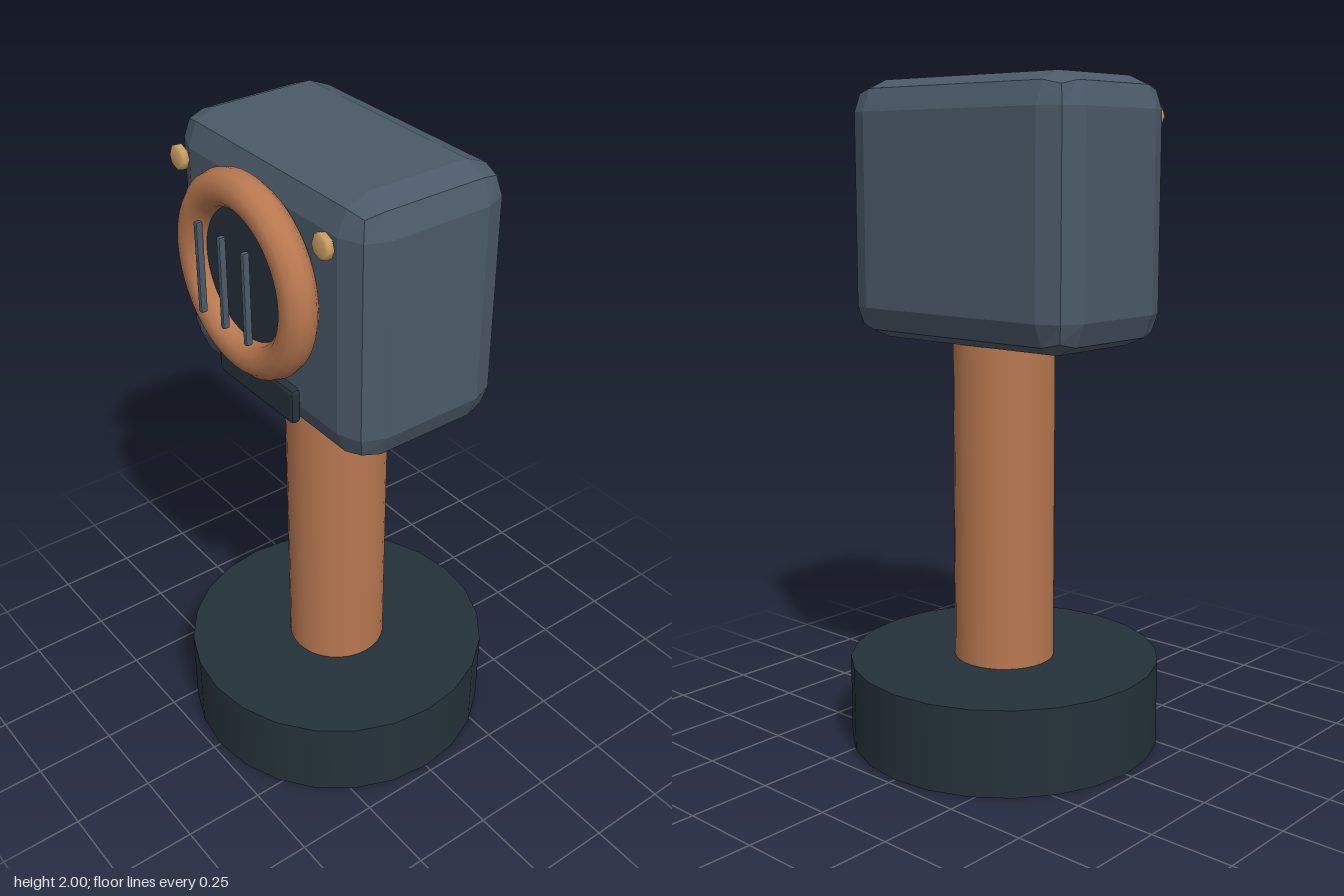
import * as THREE from 'three';

const mat = (name, color) => {
  const m = new THREE.MeshStandardMaterial({ color });
  m.name = name;
  return m;
};

// Box whose edges are rounded in two flat facets of radius r
function bevelBox(w, h, d, r) {
  const box = new THREE.BoxGeometry(1, 1, 1, 3, 3, 3);
  const p = box.attributes.position;
  const inner = new THREE.Vector3(w / 2 - r, h / 2 - r, d / 2 - r);
  const edge = (v) => (Math.abs(v) > 0.4 ? Math.sign(v) : 0);
  for (let i = 0; i < p.count; i++) {
    const v = new THREE.Vector3().fromBufferAttribute(p, i);
    const out = new THREE.Vector3(edge(v.x), edge(v.y), edge(v.z)).normalize().multiplyScalar(r);
    p.setXYZ(i,
      Math.sign(v.x) * inner.x + out.x,
      Math.sign(v.y) * inner.y + out.y,
      Math.sign(v.z) * inner.z + out.z);
  }
  const flat = box.toNonIndexed();
  flat.computeVertexNormals();
  return flat;
}

export function createModel() {
  const slate = mat('slate', 0x4b5968);
  const dark = mat('dark slate', 0x24313a);
  const copper = mat('copper', 0xb87850);
  const brass = mat('brass', 0xcda063);

  const model = new THREE.Group();
  model.name = 'pedestalSpeaker';
  const add = (name, geometry, material, x, y, z) => {
    const mesh = new THREE.Mesh(geometry, material);
    mesh.name = name;
    mesh.position.set(x, y, z);
    model.add(mesh);
    return mesh;
  };

  // Stand
  add('base', new THREE.CylinderGeometry(0.475, 0.475, 0.26, 24), dark, 0, 0.13, 0);
  add('post', new THREE.CylinderGeometry(0.153, 0.153, 1.03, 32), copper, 0, 0.765, 0);

  // Head
  add('head', bevelBox(0.855, 0.765, 0.5, 0.095), slate, 0, 1.6175, 0);

  // Round grille with its ring and upright bars
  const faceY = 1.675;
  add('ring', new THREE.TorusGeometry(0.238, 0.052, 12, 48), copper, 0, faceY, 0.3);
  add('grilleDisc', new THREE.CylinderGeometry(0.2, 0.2, 0.06, 32), dark, 0, faceY, 0.27)
    .rotation.x = Math.PI / 2;
  for (const x of [-0.108, 0, 0.108]) {
    add('grilleBar', bevelBox(0.016, 0.27, 0.021, 0.005), slate, x, faceY, 0.37);
  }

  // Plate under the ring
  add('plate', bevelBox(0.36, 0.11, 0.032, 0.013), dark, 0, 1.341, 0.27);

  // Studs in the upper corners
  const profile = [[0, -0.015], [0.027, -0.015], [0.037, -0.007], [0.037, 0.007], [0.027, 0.015], [0, 0.015]]
    .map(([r, y]) => new THREE.Vector2(r, y));
  const studGeometry = new THREE.LatheGeometry(profile, 8);
  for (const side of [-1, 1]) {
    add('stud', studGeometry, brass, side * 0.323, 1.89, 0.285).rotation.x = Math.PI / 2;
  }
  return model;
}
